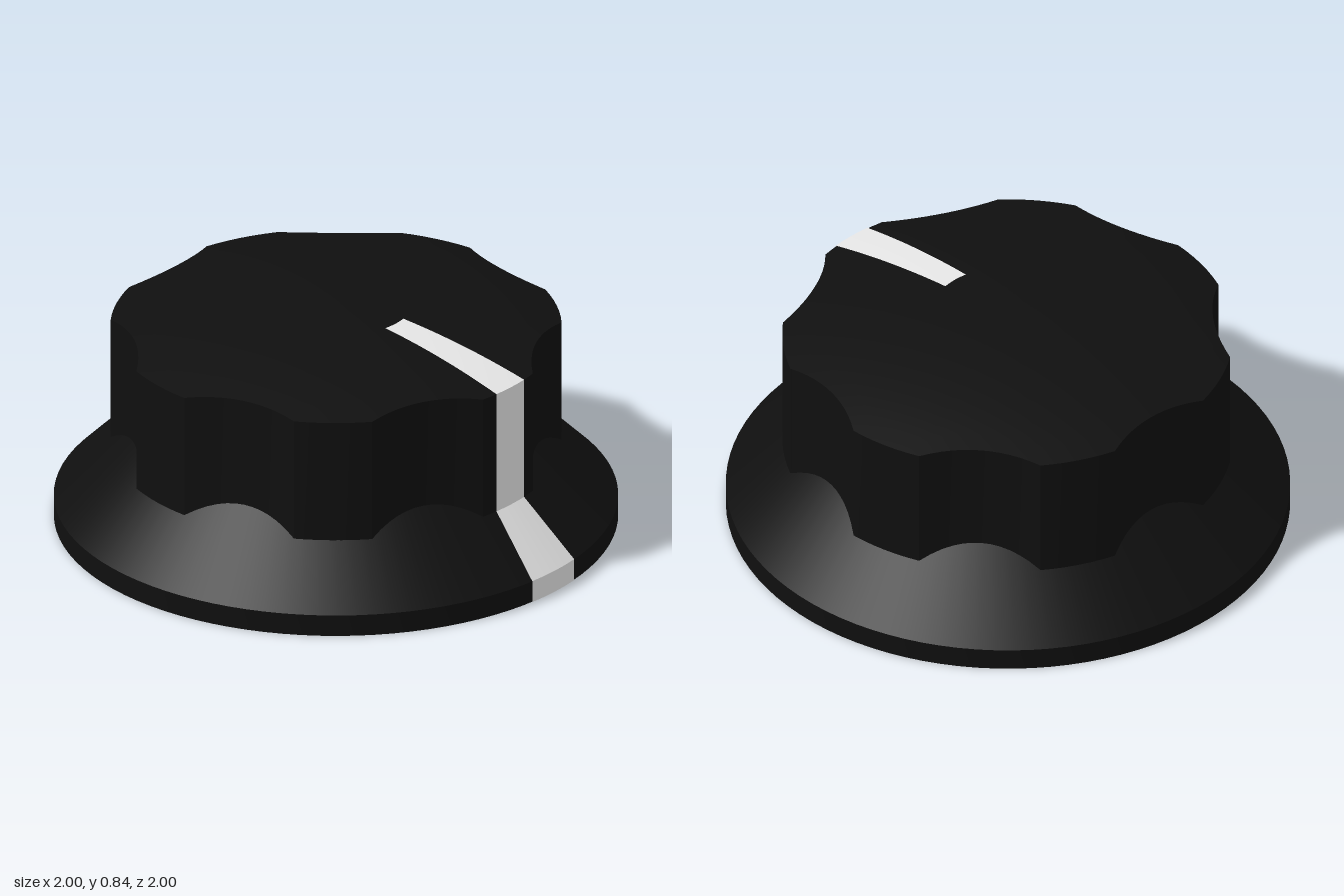
import * as THREE from 'three';
import { toCreasedNormals } from 'three/addons/utils/BufferGeometryUtils.js';

const LOBES = 7, STEP = (Math.PI * 2) / LOBES;
const LOBE_HALF = 0.174; // half angle of each grip lobe
const POINTER_ANGLE = Math.PI / 2 - 2 * STEP;

// Height of the shallow domed top and of the sloping skirt at radius r
const domeY = (r) => 0.84 - 3.25 + Math.sqrt(3.25 * 3.25 - r * r);
const skirtY = (r) => 1.08 - r;
const polar = (r, y, a) => [r * Math.cos(a), y, r * Math.sin(a)];

// Outline radius: round lobes with concave circular flutes between them
function gripRadius(offset) {
  if (offset <= LOBE_HALF + 1e-6) return 0.8;
  const phi = offset - STEP / 2, d = 1.336, R = 0.606;
  return d * Math.cos(phi) - Math.sqrt(R * R - (d * Math.sin(phi)) ** 2);
}

// Skin a list of equally long rows of points
function skin(rows) {
  const n = rows[0].length, index = [];
  for (let i = 0; i < rows.length - 1; i++) {
    for (let j = 0; j < n - 1; j++) {
      const a = i * n + j, b = a + 1, c = a + n, d = c + 1;
      index.push(a, c, b, b, c, d);
    }
  }
  const g = new THREE.BufferGeometry();
  g.setAttribute('position', new THREE.Float32BufferAttribute(rows.flat(2), 3));
  g.setIndex(index);
  return toCreasedNormals(g, 0.4);
}

export function createModel() {
  const black = new THREE.MeshStandardMaterial({ color: 0x0f0f0f });
  black.name = 'black plastic';
  const white = new THREE.MeshStandardMaterial({ color: 0xe6e6e6, side: THREE.DoubleSide });
  white.name = 'white paint';

  const knob = new THREE.Group();
  knob.name = 'knob';
  const add = (name, geometry, material) => {
    const mesh = new THREE.Mesh(geometry, material);
    mesh.name = name;
    knob.add(mesh);
  };

  // Flared skirt with a flat underside
  const profile = [[0, 0], [1, 0], [1, 0.08], [0.7, 0.38]].map(([x, y]) => new THREE.Vector2(x, y));
  add('skirt', toCreasedNormals(new THREE.LatheGeometry(profile, 96), 0.4), black);

  // Fluted grip outline
  const outline = [];
  for (let k = 0; k < LOBES; k++) {
    const start = POINTER_ANGLE + k * STEP - LOBE_HALF;
    for (let i = 0; i < 6; i++) {
      outline.push({ a: start + (i / 6) * 2 * LOBE_HALF, r: 0.8 });
    }
    for (let i = 0; i < 12; i++) {
      const f = LOBE_HALF + (i / 12) * (STEP - 2 * LOBE_HALF);
      outline.push({ a: start + LOBE_HALF + f, r: gripRadius(f) });
    }
  }
  outline.push(outline[0]);

  // Grip wall, then domed cap
  add('gripWall', skin([
    outline.map(({ a, r }) => polar(r, skirtY(r), a)),
    outline.map(({ a, r }) => polar(r, domeY(r), a)),
  ]), black);
  const capRows = [];
  for (let i = 0; i <= 10; i++) {
    const t = 1 - i / 10;
    capRows.push(outline.map(({ a, r }) => polar(r * t, domeY(r * t), a)));
  }
  add('cap', skin(capRows), black);

  // Pointer line painted over skirt, wall and cap; stations are [radius, height, half width]
  const LIFT = 0.002;
  const stations = [[1, 0, 0.117], [1, 0.08, 0.117], [0.8, 0.28, 0.077]];
  for (let i = 0; i <= 10; i++) {
    const t = i / 10, r = 0.8 - 0.53 * t;
    stations.push([r, domeY(r), 0.077 - 0.027 * t]);
  }
  const pointerRows = stations.map(([r, y, w]) => {
    const half = Math.asin(w / r);
    return [-1, -0.5, 0, 0.5, 1].map((s) =>
      polar(r + LIFT, y === 0 ? 0 : y + LIFT, POINTER_ANGLE + s * half));
  });
  add('pointerLine', skin(pointerRows), white);

  return knob;
}
